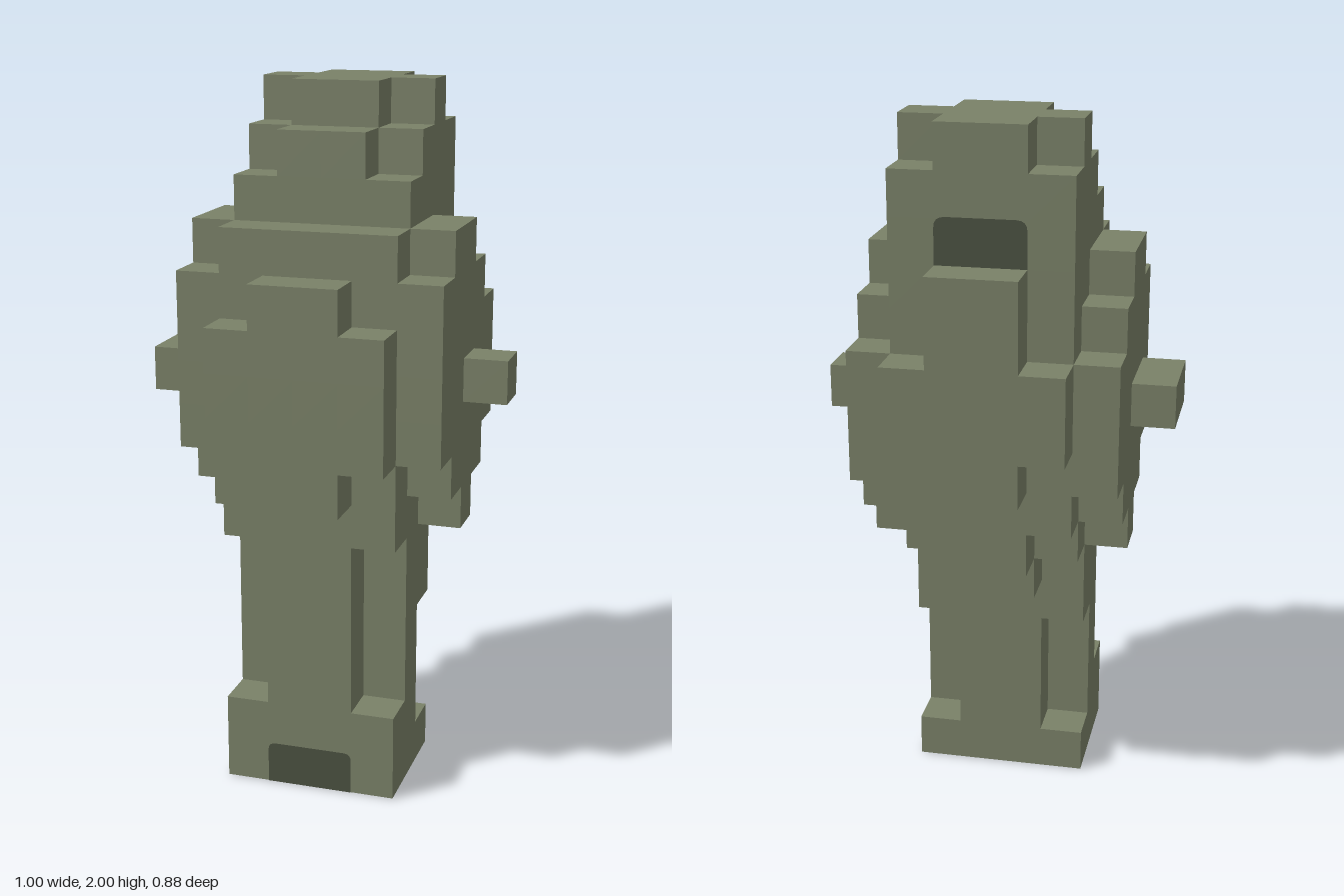
import * as THREE from 'three';
import { mergeGeometries } from 'three/addons/utils/BufferGeometryUtils.js';

const U = 0.125; // edge of one block

// Blocky parts as boxes in block units: [x0, x1, y0, y1, z0, z1]
const mirrored = (h, y0, y1, z0, z1) => [-h, h, y0, y1, z0, z1];
const PARTS = {
  handle: [
    mirrored(2, 0, 1, -0.5, 2.5),   // foot
    mirrored(2, 1, 2, 0.5, 2.5),
    mirrored(2, 2, 6, 0.5, 1.5),    // shaft core
    mirrored(1, 1, 6, -0.5, 2.5),   // front and back ribs
    mirrored(2, 4, 6, -0.5, 0.5),   // back shoulder
    mirrored(1, 5, 6, -1.5, -0.5),  // back bracket
  ],
  body: [
    mirrored(2, 6, 13, -1.5, 2.5),
    mirrored(1, 6, 7, -2.5, -1.5),
    mirrored(2, 7, 13, -2.5, -1.5),
    mirrored(3, 6, 7, -0.5, 0.5),   // stepped side bulges
    mirrored(3, 7, 8, -1.5, 1.5),
    mirrored(3, 8, 11, -2.5, 2.5),
    mirrored(3, 11, 12, -1.5, 2.5),
    mirrored(3, 12, 13, -0.5, 1.5),
  ],
  frontPanel: [
    mirrored(1, 7, 12, 2.5, 3.5),
    mirrored(2, 8, 11, 2.5, 3.5),
  ],
  backPanel: [
    mirrored(1, 8, 13, -3.5, -2.5),
    mirrored(2, 9, 11, -3.5, -2.5),
  ],
  head: [
    mirrored(2, 13, 14, -2.5, 1.5),
    mirrored(2, 14, 15, -2.5, 0.5),
    mirrored(1, 14, 15, 0.5, 1.5),
    mirrored(1, 15, 16, -2.5, 0.5),
    mirrored(2, 15, 16, -1.5, -0.5),
  ],
  leftPeg: [[3, 4, 9, 10, -0.5, 0.5]],
  rightPeg: [[-4, -3, 9, 10, -0.5, 1.5]],
};

// Six block sides: direction and the turn that points a plane that way
const Q = Math.PI / 2;
const SIDES = [
  [0, 0, 1, 0, 0], [0, 0, -1, 0, 2 * Q], [1, 0, 0, 0, Q],
  [-1, 0, 0, 0, -Q], [0, 1, 0, -Q, 0], [0, -1, 0, Q, 0],
];

const key = (x, y, z) => `${x},${y},${z}`;

// Centres of the blocks that fill a list of boxes
function fill(boxes) {
  const cells = new Map();
  for (const [x0, x1, y0, y1, z0, z1] of boxes)
    for (let x = x0 + 0.5; x < x1; x++)
      for (let y = y0 + 0.5; y < y1; y++)
        for (let z = z0 + 0.5; z < z1; z++) cells.set(key(x, y, z), [x, y, z]);
  return cells;
}

// Only the outside faces of a part's blocks
function blockSurface(cells, solid) {
  const faces = [];
  for (const [x, y, z] of cells.values())
    for (const [dx, dy, dz, rx, ry] of SIDES) {
      if (solid.has(key(x + dx, y + dy, z + dz))) continue;
      const face = new THREE.PlaneGeometry(U, U);
      face.rotateX(rx).rotateY(ry);
      face.translate((x + dx / 2) * U, (y + dy / 2) * U, (z + dz / 2) * U);
      faces.push(face);
    }
  return mergeGeometries(faces);
}

// Flat patch standing on its base line, with rounded top corners
function patchGeometry(w, h, r) {
  const s = new THREE.Shape();
  s.moveTo(-w, 0);
  s.lineTo(w, 0);
  s.lineTo(w, h - r);
  s.quadraticCurveTo(w, h, w - r, h);
  s.lineTo(-w + r, h);
  s.quadraticCurveTo(-w, h, -w, h - r);
  return new THREE.ShapeGeometry(s, 4);
}

export function createModel() {
  const group = new THREE.Group();
  const olive = new THREE.MeshStandardMaterial({ color: 0x7a8168 });
  olive.name = 'olive';
  const darkOlive = new THREE.MeshStandardMaterial({ color: 0x4b5141 });
  darkOlive.name = 'dark olive';

  const add = (name, geometry, material) => {
    const mesh = new THREE.Mesh(geometry, material);
    mesh.name = name;
    group.add(mesh);
  };

  const solid = fill(Object.values(PARTS).flat());
  for (const [name, boxes] of Object.entries(PARTS))
    add(name, blockSurface(fill(boxes), solid), olive);

  // Dark openings: foot front, foot underside and back of the head
  const gap = 0.002;
  const front = patchGeometry(U, 0.122, 0.022);
  add('footFrontOpening', front.translate(0, 0, 2.5 * U + gap), darkOlive);

  const under = patchGeometry(U, 0.235, 0.045).rotateX(Q).rotateY(2 * Q);
  add('footUnderOpening', under.translate(0, -gap, 2.5 * U), darkOlive);

  const back = patchGeometry(U, 0.13, 0.03).rotateY(2 * Q);
  add('headBackOpening', back.translate(0, 13 * U, -2.5 * U - gap), darkOlive);

  return group;
}
